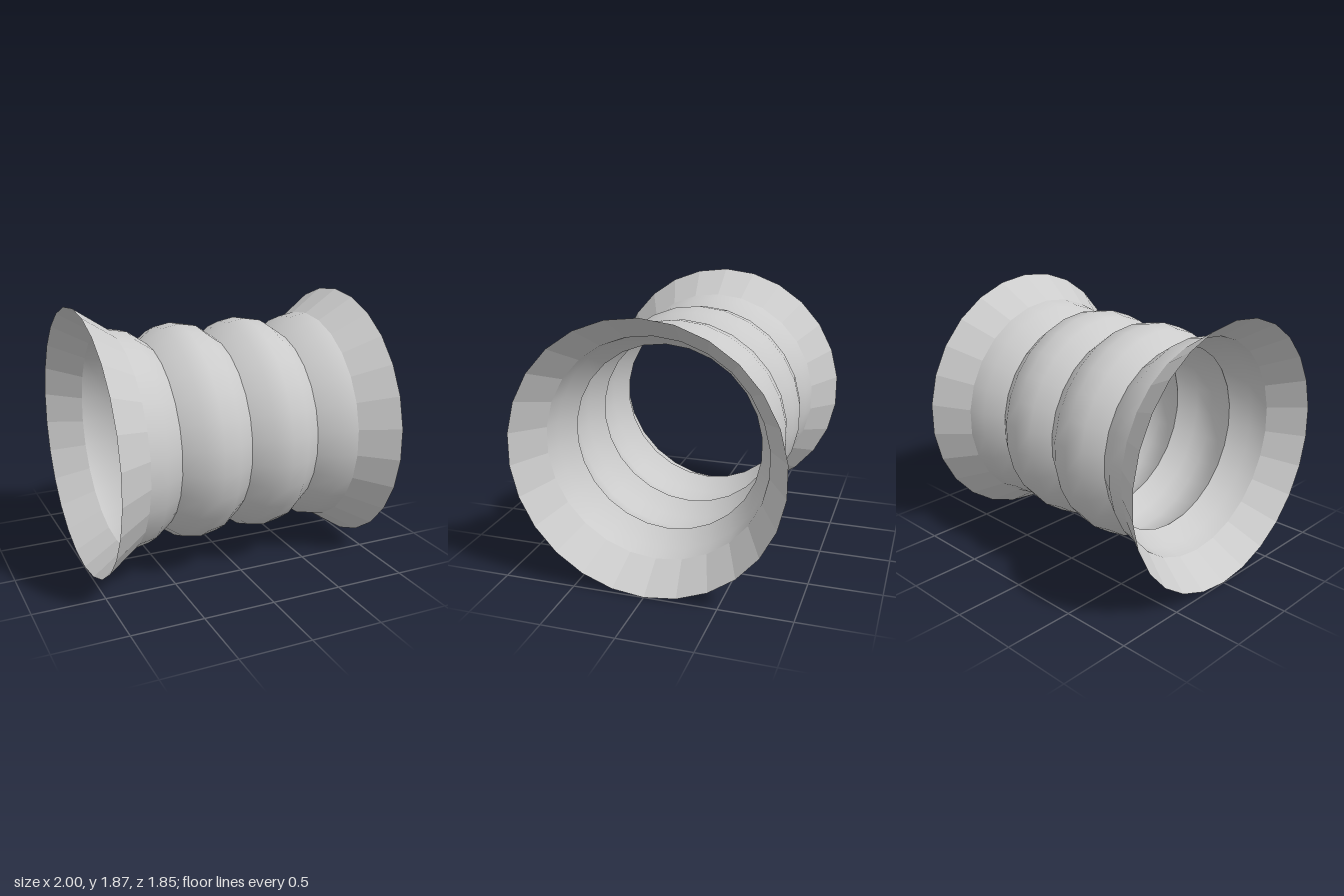
import * as THREE from 'three';

const SIDES = 26;
const RIM = 0.9325;    // outer radius of the flared ends
const CREST = 0.77;    // radius at the top of a bellows fold
const SHOULDER = 0.748;
const VALLEY = 0.66;   // radius between folds

export function createModel() {
  const group = new THREE.Group();
  const smooth = new THREE.MeshStandardMaterial({ color: 0xcccccc, side: THREE.DoubleSide });
  const faceted = new THREE.MeshStandardMaterial({ color: 0xcccccc, side: THREE.DoubleSide, flatShading: true });

  // Revolves [x, radius] points around the x axis
  const addRing = (name, profile, material) => {
    const points = profile.map(([x, r]) => new THREE.Vector2(r, x));
    const geometry = new THREE.LatheGeometry(points, SIDES, Math.PI / 2, Math.PI * 2);
    geometry.rotateZ(-Math.PI / 2);
    const mesh = new THREE.Mesh(geometry, material);
    mesh.name = name;
    mesh.position.y = RIM;
    group.add(mesh);
  };

  // Two full folds; separate rings keep the valleys creased
  for (const [name, c] of [['rightFold', -0.25], ['leftFold', 0.25]]) {
    addRing(name, [
      [c - 0.25, VALLEY], [c - 0.125, SHOULDER], [c, CREST],
      [c + 0.125, SHOULDER], [c + 0.25, VALLEY],
    ], smooth);
  }

  // Half folds and flared collars, mirrored at both ends
  for (const [side, s] of [['right', -1], ['left', 1]]) {
    const mirror = (p) => (s > 0 ? p : p.map(([x, r]) => [-x, r]).reverse());
    addRing(side + 'HalfFold', mirror([[0.5, VALLEY], [0.63, SHOULDER], [0.755, CREST]]), smooth);
    addRing(side + 'Flare', mirror([[0.755, CREST], [1, RIM]]), faceted);
  }

  return group;
}
